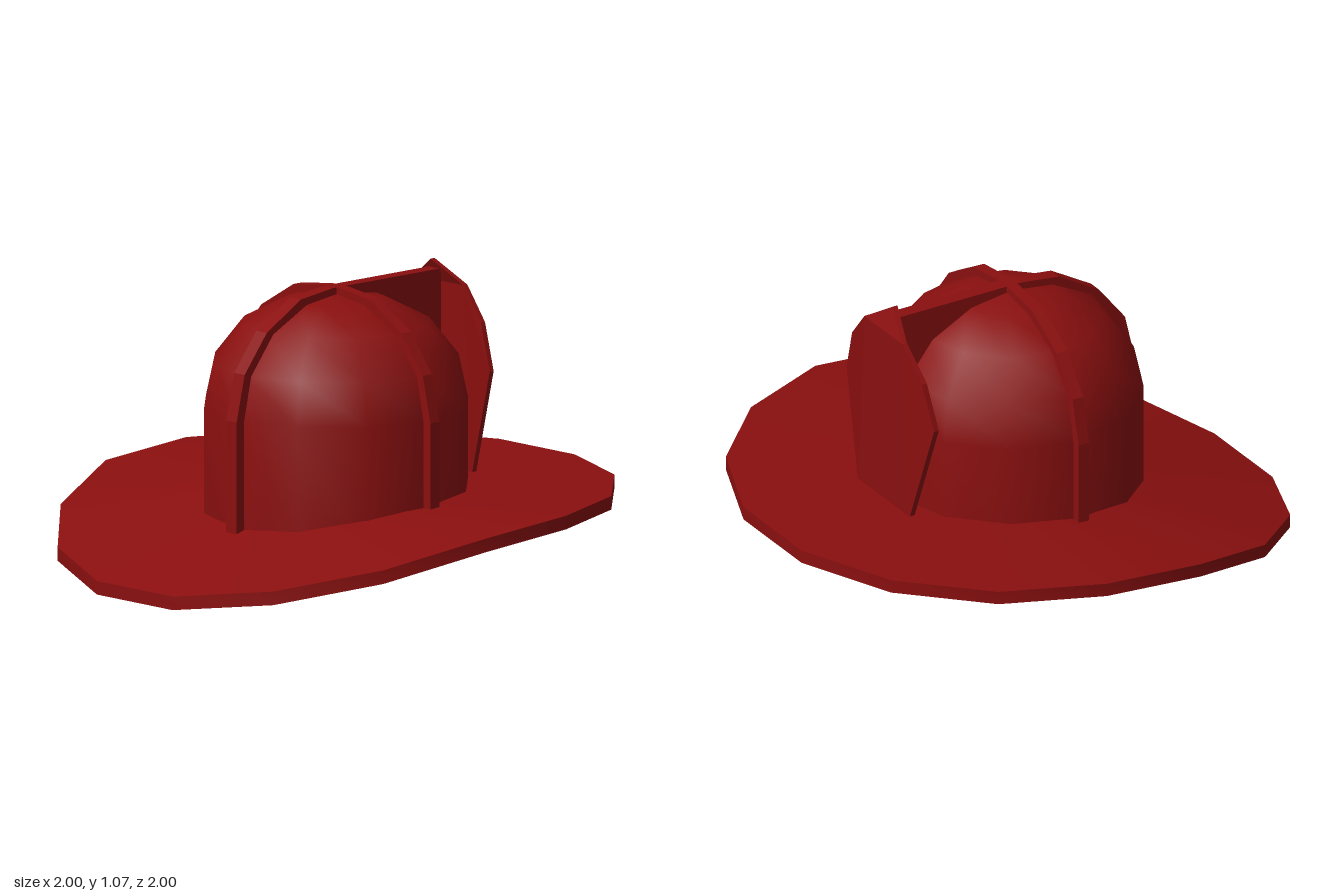
import * as THREE from 'three';
import { toCreasedNormals } from 'three/addons/utils/BufferGeometryUtils.js';

const red = new THREE.MeshStandardMaterial({ color: 0x8a0f0f });
const clamp = THREE.MathUtils.clamp;

// Height of the brim's upper face along x: level at the front, drooping at the back
const SLOPE = [[-1, 0.05], [-0.85, 0.1], [-0.57, 0.18], [-0.2, 0.27], [0.2, 0.3], [1, 0.3]];
function brimY(x) {
  x = clamp(x, -1, 1);
  const i = Math.max(1, SLOPE.findIndex(p => p[0] >= x));
  const [x0, y0] = SLOPE[i - 1], [x1, y1] = SLOPE[i];
  return y0 + (y1 - y0) * (x - x0) / (x1 - x0);
}

// Loft of round rings [radius, y, follow]; a following ring measures y from the brim
function loft(rings, sides, turn, crease) {
  const pos = [], index = [];
  rings.forEach(([r, y, follow], i) => {
    for (let j = 0; j < sides; j++) {
      const a = (j + turn) / sides * Math.PI * 2;
      const x = r * Math.cos(a);
      pos.push(x, follow ? y + brimY(x) : y, r * Math.sin(a));
      if (i < rings.length - 1) {
        const p = i * sides + j, q = i * sides + (j + 1) % sides;
        index.push(p, q, p + sides, q, q + sides, p + sides);
      }
    }
  });
  const g = new THREE.BufferGeometry();
  g.setAttribute('position', new THREE.Float32BufferAttribute(pos, 3));
  g.setIndex(index);
  return toCreasedNormals(g, crease);
}

const shape = pts => new THREE.Shape(pts.map(p => new THREE.Vector2(...p)));

function add(group, name, geometry) {
  const mesh = new THREE.Mesh(geometry, red);
  mesh.name = name;
  group.add(mesh);
  return mesh;
}

// Plate standing in the xy plane, centred on its thickness
function plate(pts, width) {
  return new THREE.ExtrudeGeometry(shape(pts), { depth: width, bevelEnabled: false })
    .translate(0, 0, -width / 2);
}

export function createModel() {
  const hat = new THREE.Group();
  hat.name = 'helmet';

  // Brim: upper face and rim edge
  add(hat, 'brim', loft([[0.46, 0, true], [1.02, 0, true], [1.02, -0.05, true]], 16, 0.5, 0.6));

  // Underside running smoothly into the hollow crown
  add(hat, 'lining', loft([
    [1.02, -0.05, true], [0.52, -0.085, true], [0.45, -0.03, true], [0.45, 0.58],
    [0.41, 0.73], [0.32, 0.86], [0.17, 0.95], [0.001, 0.97],
  ], 16, 0.5, 3));

  // Crown
  add(hat, 'crown', loft([
    [0.001, 1.01], [0.18, 0.985], [0.345, 0.9], [0.455, 0.76], [0.49, 0.6], [0.49, -0.03, true],
  ], 12, 0, 0.8));

  // Raised ribs over the crown; the front one grows into a fin behind the shield
  const outer = [[0.52, 0.6], [0.48, 0.77], [0.37, 0.91], [0.2, 1.01], [0.04, 1.03]];
  const inner = [[0.47, 0.6], [0.435, 0.75], [0.33, 0.885], [0.17, 0.965], [0.02, 0.99]];
  const flip = pts => pts.map(([x, y]) => [-x, y]);
  const back = low => [...flip(outer).reverse(), [-0.52, low], [-0.47, low], ...flip(inner)];
  const front = low => [[0.47, low], [0.52, low], ...outer];
  const innerUp = [...inner].reverse();

  add(hat, 'sideRib', plate([...back(0.26), ...innerUp, ...front(0.26)], 0.045))
    .rotation.y = Math.PI / 2;
  add(hat, 'finRib', plate(
    [...back(0.15), ...innerUp, [0.47, 0.26], [0.495, 0.26], [0.495, 1.03]], 0.055));

  // Front shield: flat middle, swept-back wings and tip
  const wing = [[0.17, 0.27], [0.3, 0.69], [0.24, 0.86], [0.13, 0.98]];
  const panels = [
    [[-0.17, 0.27], [0.17, 0.27], [0.13, 0.98], [-0.13, 0.98]],
    [[-0.13, 0.98], [0.13, 0.98], [0, 1.065]],
    wing, flip(wing),
  ].map(shape);
  const shield = new THREE.ExtrudeGeometry(panels, { depth: 0.02, bevelEnabled: false });
  const p = shield.attributes.position;
  for (let i = 0; i < p.count; i++) {
    const sweep = 0.04 * clamp((p.getY(i) - 0.98) / 0.085, 0, 1)
      + 0.03 * clamp((Math.abs(p.getX(i)) - 0.17) / 0.13, 0, 1);
    p.setZ(i, p.getZ(i) + 0.51 - sweep);
  }
  shield.computeVertexNormals();
  add(hat, 'frontShield', shield).rotation.y = Math.PI / 2;

  return hat;
}
